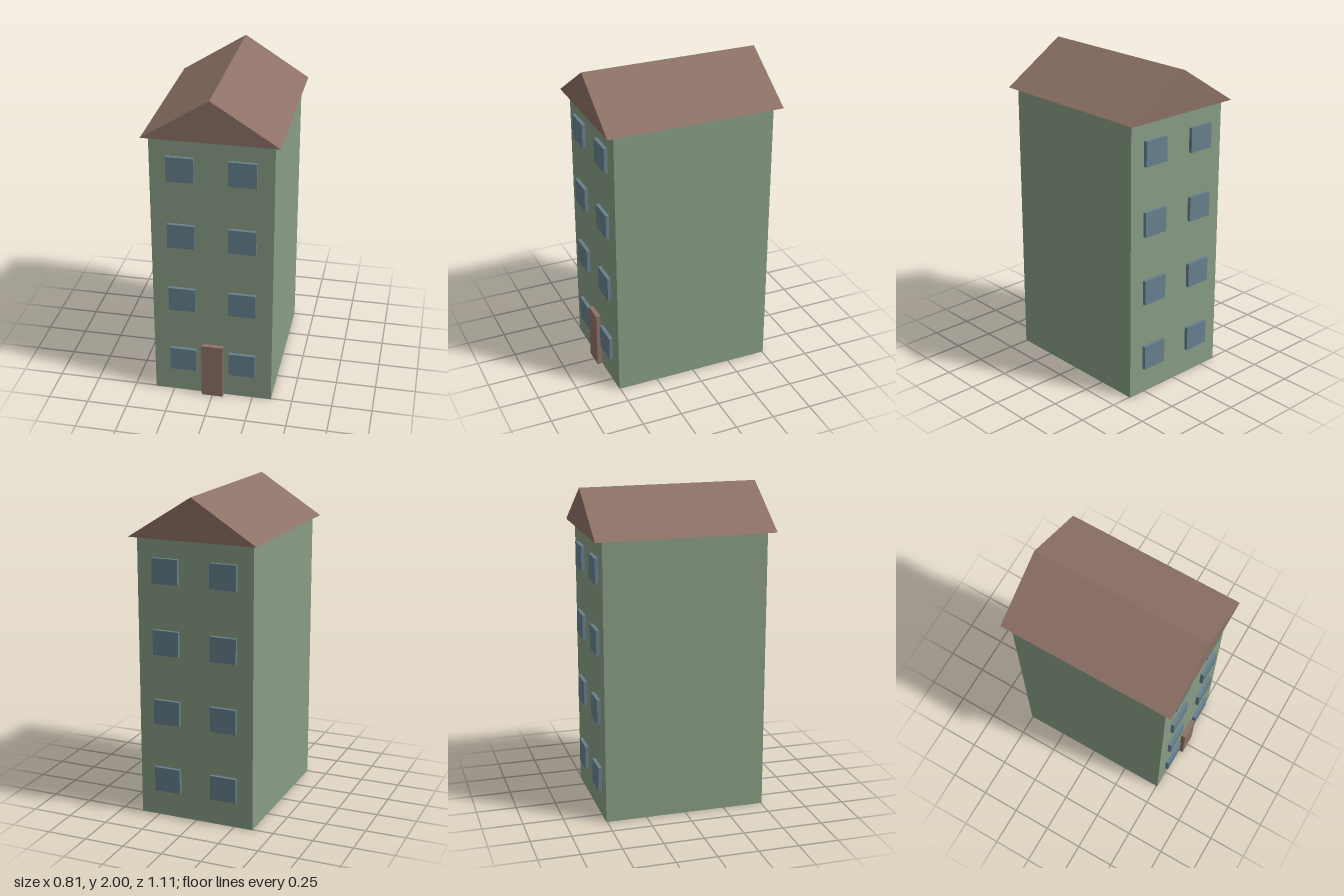
import * as THREE from 'three';

export function createModel() {
  const model = new THREE.Group();
  const material = (name, color) => {
    const m = new THREE.MeshStandardMaterial({ color });
    m.name = name;
    return m;
  };
  const green = material('wall green', 0x889d84);
  const brown = material('roof brown', 0x8d7166);
  const blue = material('window blue', 0x67808d);

  const add = (name, geometry, mat, x, y, z) => {
    const mesh = new THREE.Mesh(geometry, mat);
    mesh.name = name;
    mesh.position.set(x, y, z);
    model.add(mesh);
  };

  // Walls
  const wallHeight = 1.745, halfDepth = 0.506;
  add('walls', new THREE.BoxGeometry(0.736, wallHeight, halfDepth * 2), green, 0, wallHeight / 2, 0);

  // Gable roof, overhanging on all sides
  const gable = new THREE.Shape();
  gable.moveTo(-0.403, 0);
  gable.lineTo(0.403, 0);
  gable.lineTo(0, 2 - wallHeight);
  gable.closePath();
  const roofDepth = 1.108;
  const roof = new THREE.ExtrudeGeometry(gable, { depth: roofDepth, bevelEnabled: false });
  add('roof', roof, brown, 0, wallHeight, -roofDepth / 2);

  // Windows: four floors, two per floor, front and back
  const pane = new THREE.BoxGeometry(0.166, 0.154, 0.044);
  for (let floor = 0; floor < 4; floor++) {
    for (const side of [-1, 1]) {
      for (const face of [-1, 1]) {
        add('window', pane, blue, side * 0.184, 0.241 + floor * 0.436, face * halfDepth);
      }
    }
  }

  // Front door
  add('door', new THREE.BoxGeometry(0.134, 0.363, 0.03), brown, 0, 0.1815, halfDepth + 0.018);

  return model;
}
